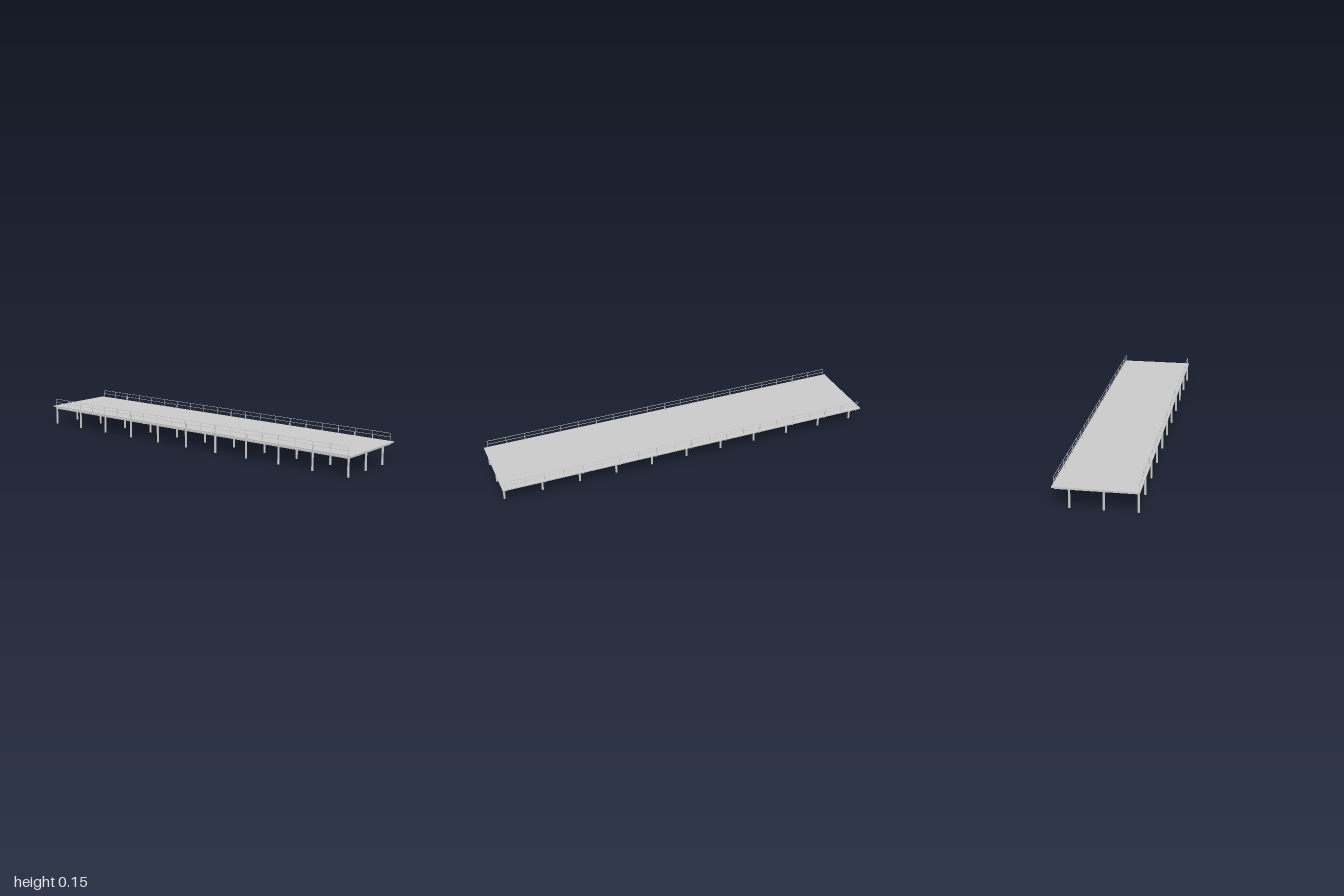
import * as THREE from 'three';

export function createModel() {
  const pier = new THREE.Group();
  pier.name = 'pier';
  const material = new THREE.MeshStandardMaterial({ color: 0xcccccc });

  const add = (name, geometry, x, y, z) => {
    const mesh = new THREE.Mesh(geometry, material);
    mesh.name = name;
    mesh.position.set(x, y, z);
    pier.add(mesh);
  };
  const box = (w, h, d) => new THREE.BoxGeometry(w, h, d);

  const rows = 10;
  const endX = 0.981;
  const step = (2 * endX) / rows;
  const deckTop = 0.1045;
  const pileZ = [0.191, 0.034, -0.123];

  // Deck slab
  add('deck', box(2, 0.0055, 0.4), 0, deckTop - 0.00275, 0);

  // Piles and the cross beams tying each row together
  const pile = new THREE.CylinderGeometry(0.0055, 0.0055, 0.099, 16);
  const crossBeam = box(0.007, 0.0075, 0.379);
  for (let i = 0; i <= rows; i++) {
    const x = -endX + i * step;
    for (const z of pileZ) add('pile', pile, x, 0.0495, z);
    add('crossBeam', crossBeam, x, 0.092, 0);
  }

  // Beams running along each line of piles
  const longBeam = box(2 * endX, 0.0075, 0.007);
  for (const z of pileZ) add('longBeam', longBeam, 0, 0.092, z);

  // Railings and mooring posts along both long sides
  const railHeight = 0.04;
  const post = box(0.0022, railHeight, 0.0022);
  const rail = box(2 * endX, 0.0018, 0.0018);
  const mooring = new THREE.CylinderGeometry(0.002, 0.002, 0.0195, 12);
  for (const side of [-1, 1]) {
    const z = side * 0.193;
    for (let i = 0; i <= rows * 2; i++) {
      add('railPost', post, -endX + (i * step) / 2, deckTop + railHeight / 2, z);
    }
    add('topRail', rail, 0, 0.1445, z);
    add('middleRail', rail, 0, 0.1255, z);
    for (let i = 1; i < rows; i += 2) {
      add('mooringPost', mooring, -endX + i * step, deckTop + 0.00975, side * 0.185);
    }
  }
  return pier;
}
